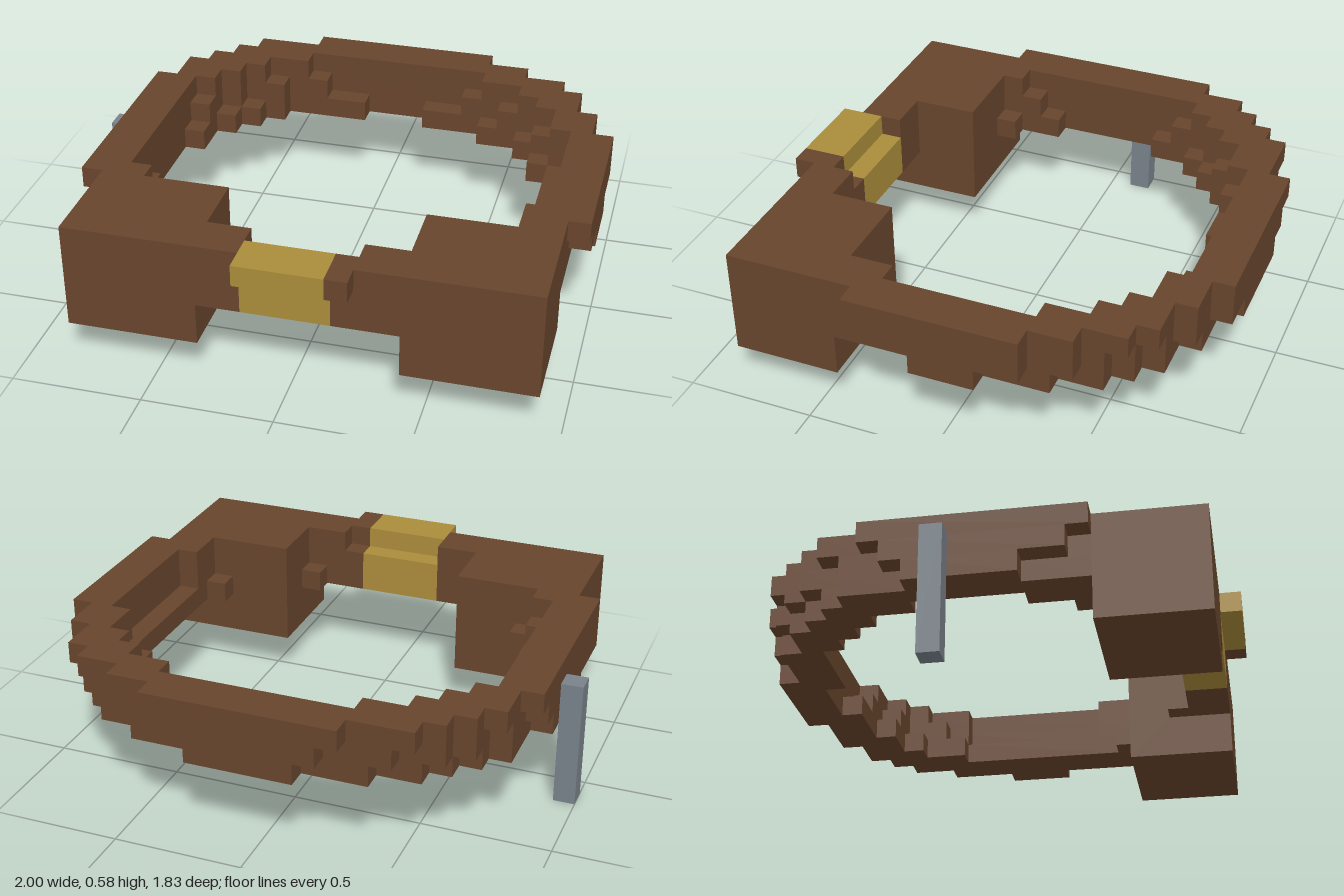
import * as THREE from 'three';

const U = 1 / 12; // one block
const FRONT = 5; // row where the ring meets the front corners

function material(name, color) {
  const mat = new THREE.MeshStandardMaterial({ color });
  mat.name = name;
  return mat;
}
const wood = material('brown wood', 0x68452d);
const gold = material('gold', 0xaa8c3a);
const steel = material('grey steel', 0x79828a);

// Box given by its block-grid limits
function box(name, mat, x0, x1, y0, y1, z0, z1) {
  const geo = new THREE.BoxGeometry((x1 - x0) * U, (y1 - y0) * U, (z1 - z0) * U);
  const mesh = new THREE.Mesh(geo, mat);
  mesh.name = name;
  mesh.position.set((x0 + x1) / 2 * U, (y0 + y1) / 2 * U, (z0 + z1) / 2 * U);
  return mesh;
}

// Stepped edge from back to front: one x per row, the last held along the
// straight side until sideEnd, then one block back towards the middle
function steps(startZ, xs, sideEnd) {
  const pts = [];
  const point = (x, z) => pts.push(new THREE.Vector2(x * U, -z * U));
  const last = xs[xs.length - 1];
  xs.forEach((x, i) => {
    if (x !== xs[i - 1]) point(x, startZ + i);
    if (i < xs.length - 1 && x !== xs[i + 1]) point(x, startZ + i + 1);
  });
  point(last, sideEnd);
  if (sideEnd < FRONT) {
    point(last - Math.sign(last), sideEnd);
    point(last - Math.sign(last), FRONT);
  }
  return pts;
}

// Horseshoe layer, one block high; each side is [x per row, end of the straight]
function ringLayer(y, outLeft, outRight, inLeft, inRight) {
  const outline = [
    ...steps(-11, ...outLeft).reverse(), ...steps(-11, ...outRight),
    ...steps(-9, ...inRight).reverse(), ...steps(-9, ...inLeft),
  ];
  const geo = new THREE.ExtrudeGeometry(new THREE.Shape(outline), { depth: U, bevelEnabled: false });
  geo.rotateX(-Math.PI / 2);
  const mesh = new THREE.Mesh(geo, wood);
  mesh.name = 'ringLayer';
  mesh.position.y = y * U;
  return mesh;
}

export function createModel() {
  const model = new THREE.Group();
  model.name = 'steppedRing';

  // Ring in three layers, flaring outwards
  model.add(ringLayer(4,
    [[-2, -5, -7, -8, -9, -10, -10, -10, -11], 2],
    [[3, 6, 8, 9, 10, 10, 11, 11, 11, 12], 1],
    [[-1, -5, -6, -7, -8, -8, -9], 2],
    [[2, 5, 7, 8, 8, 9], 4]));
  model.add(ringLayer(5,
    [[-3, -6, -8, -9, -9, -10, -10, -11], 4],
    [[5, 7, 8, 9, 10, 11, 11, 12], 3],
    [[-3, -5, -7, -8, -8, -9], 3],
    [[4, 6, 8, 8, 9, 10], 3]));
  model.add(ringLayer(6,
    [[-4, -7, -8, -9, -10, -10, -11], FRONT],
    [[5, 7, 9, 10, 10, 11, 11, 12], 4],
    [[-4, -6, -7, -8, -9], 4],
    [[5, 7, 8, 9, 9, 10], 3]));

  // Heavy front corners with small studs inside
  model.add(box('rightCorner', wood, -10, -4, 2, 7, FRONT, 10));
  model.add(box('leftCorner', wood, 5, 11, 2, 7, FRONT, 10));
  model.add(box('rightStud', wood, -8, -7, 4, 5, 4, FRONT));
  model.add(box('leftStud', wood, 4, 5, 4, 5, 7, 8));

  // Front bar between the corners
  model.add(box('frontBarRight', wood, -4, -2, 4, 7, 8, 10));
  model.add(box('frontBarLeft', wood, 3, 5, 4, 7, 8, 10));

  // Gold clasp and its wooden side piece, stepping forward on top
  for (const [name, mat, x0, x1] of [['clasp', gold, -2, 2], ['claspSide', wood, 2, 3]]) {
    model.add(box(name + 'Lower', mat, x0, x1, 4, 6, 8, 10));
    model.add(box(name + 'Upper', mat, x0, x1, 6, 7, 9, 11));
  }

  // Hanging rod at the side
  model.add(box('sideRod', steel, -12, -11, 0, 6, -2, -1));
  return model;
}
